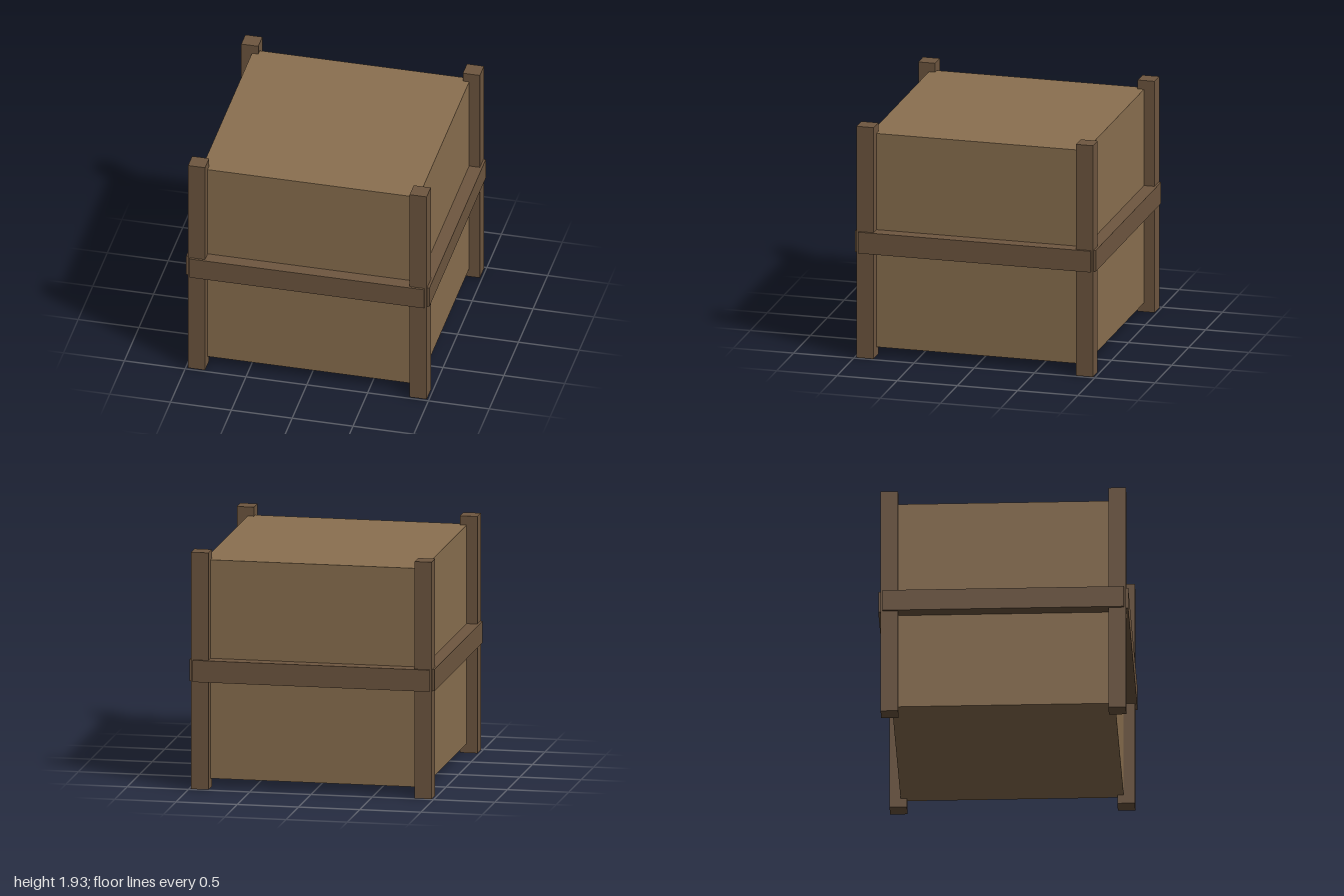
import * as THREE from 'three';

export function createModel() {
  const model = new THREE.Group();
  model.name = 'crate';
  const panelWood = new THREE.MeshStandardMaterial({ color: 0x8b7050 });
  const trimWood = new THREE.MeshStandardMaterial({ color: 0x6f5740 });

  const addBox = (name, [w, h, d], [x, y, z], material, parent = model) => {
    const mesh = new THREE.Mesh(new THREE.BoxGeometry(w, h, d), material);
    mesh.name = name;
    mesh.position.set(x, y, z);
    parent.add(mesh);
    return mesh;
  };

  // Crate body, raised slightly off the ground
  addBox('body', [1.785, 1.785, 1.785], [0, 0.967, 0], panelWood);

  // Corner posts, standing proud of the body at top and bottom
  for (const [sx, side] of [[1, 'Left'], [-1, 'Right']]) {
    for (const [sz, end] of [[1, 'front'], [-1, 'back']]) {
      addBox(`${end}${side}Post`, [0.14, 1.934, 0.14], [sx * 0.911, 0.967, sz * 0.911], trimWood);
    }
  }

  // Middle rails, one per side, stopping just short of the corners
  ['front', 'left', 'back', 'right'].forEach((side, i) => {
    const pivot = new THREE.Group();
    pivot.name = `${side}RailGroup`;
    pivot.rotation.y = (i * Math.PI) / 2;
    addBox(`${side}Rail`, [1.93, 0.177, 0.14], [0, 0.967, 0.93], trimWood, pivot);
    model.add(pivot);
  });

  return model;
}
